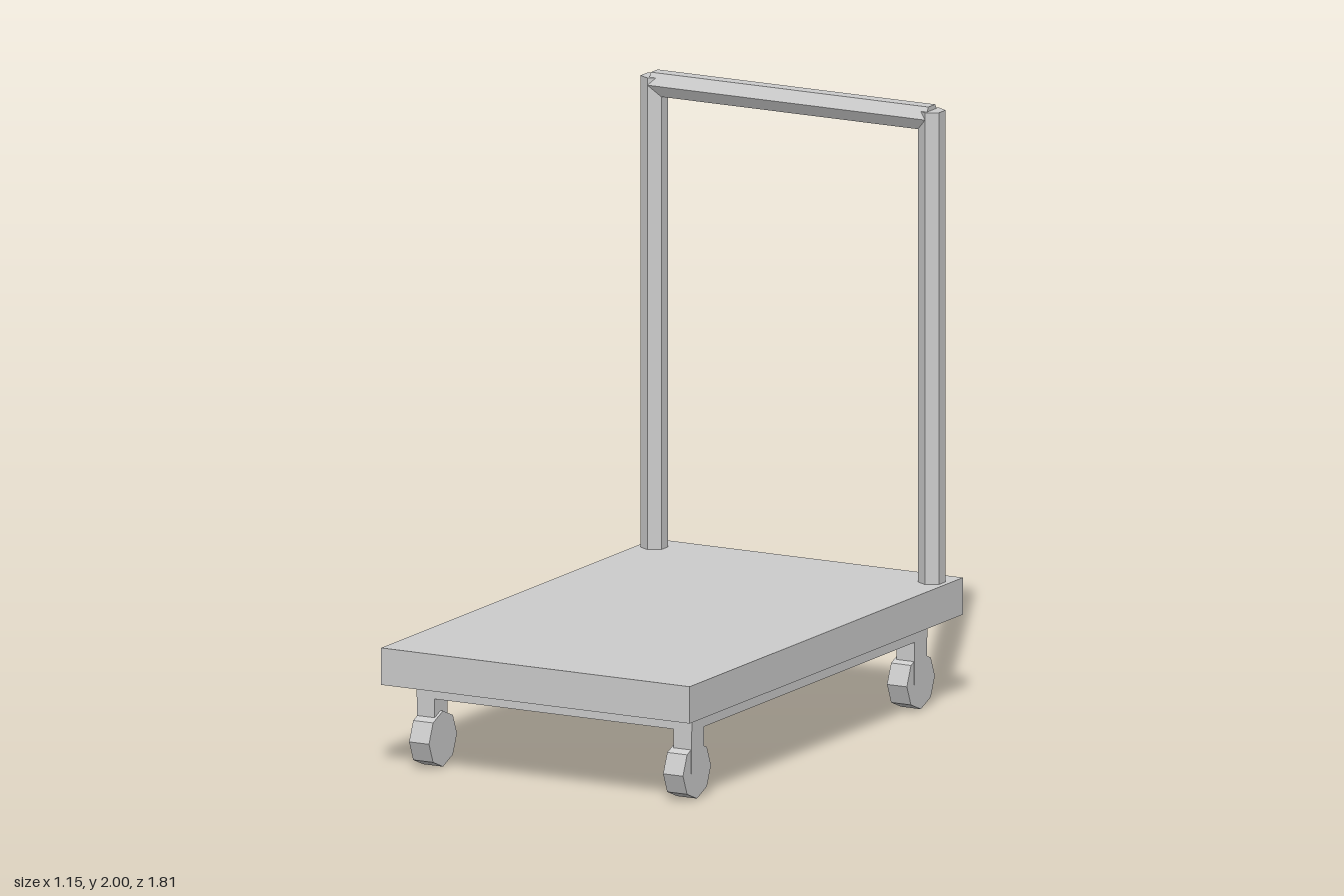
import * as THREE from 'three';

export function createModel() {
  const group = new THREE.Group();
  const grey = new THREE.MeshStandardMaterial({ color: 0xcccccc, flatShading: true });
  grey.name = 'light grey';

  function add(name, geometry, x, y, z) {
    const mesh = new THREE.Mesh(geometry, grey);
    mesh.name = name;
    mesh.position.set(x, y, z);
    group.add(mesh);
  }

  // Load deck and the thinner slab beneath it
  add('deck', new THREE.BoxGeometry(1.15, 0.123, 1.814), 0, 0.3515, 0);
  add('underframe', new THREE.BoxGeometry(1.026, 0.06, 1.564), 0, 0.262, 0);

  // Hexagonal push handle: two posts and a crossbar
  const handleZ = -0.803, handleR = 0.045, postX = 0.517;
  const postGeometry = new THREE.CylinderGeometry(handleR, handleR, 1.585, 6);
  const barGeometry = new THREE.CylinderGeometry(handleR, handleR, postX * 2, 6).rotateZ(Math.PI / 2);
  add('leftHandlePost', postGeometry, postX, 1.1925, handleZ);
  add('rightHandlePost', postGeometry, -postX, 1.1925, handleZ);
  add('handleBar', barGeometry, 0, 1.961, handleZ);

  // Casters: a square stem and an eight-sided wheel at each corner
  const stemGeometry = new THREE.BoxGeometry(0.066, 0.15, 0.084);
  const wheelGeometry = new THREE.CylinderGeometry(0.093, 0.093, 0.074, 8).rotateZ(Math.PI / 2);
  for (const [side, sx] of [['Left', 1], ['Right', -1]]) {
    for (const [end, sz] of [['front', 1], ['back', -1]]) {
      add(end + side + 'CasterStem', stemGeometry, sx * 0.478, 0.165, sz * 0.74);
      add(end + side + 'Wheel', wheelGeometry, sx * 0.473, 0.093, sz * 0.743);
    }
  }
  return group;
}
